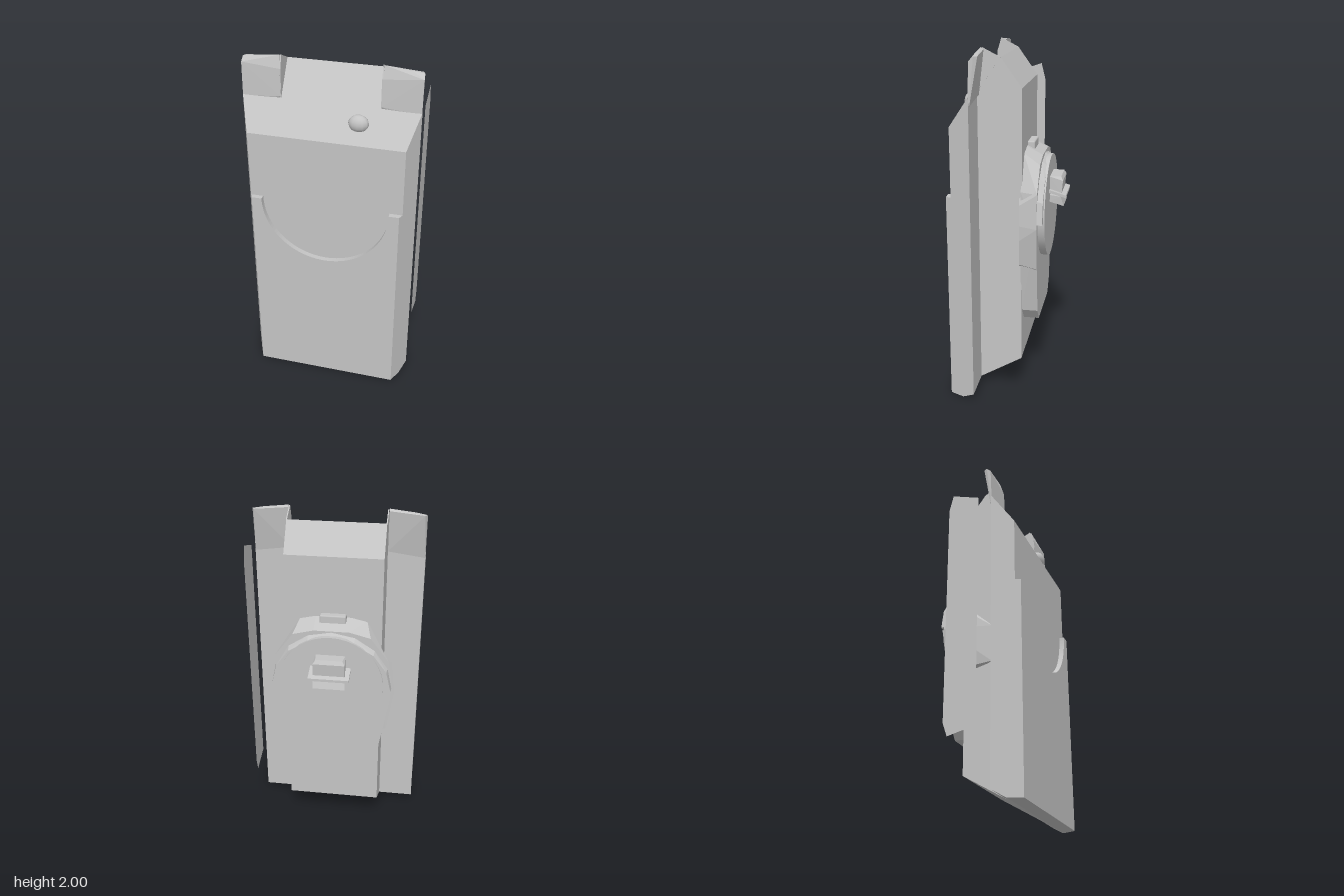
import * as THREE from 'three';
import { ConvexGeometry } from 'three/addons/geometries/ConvexGeometry.js';
import { RoundedBoxGeometry } from 'three/addons/geometries/RoundedBoxGeometry.js';

export function createModel() {
  const model = new THREE.Group();
  const grey = new THREE.MeshStandardMaterial({ color: 0xc4c4c4, side: THREE.DoubleSide });
  grey.name = 'light grey';

  const add = (name, geometry, parent = model) => {
    const mesh = new THREE.Mesh(geometry, grey);
    mesh.name = name;
    parent.add(mesh);
    return mesh;
  };
  const hull = (points) => new ConvexGeometry(points.map((p) => new THREE.Vector3(...p)));
  // Convex solid across both sides: each point is a half width, y and z
  const mirrored = (points) => hull(points.flatMap(([x, y, z]) => [[x, y, z], [-x, y, z]]));
  const sideX = (z) => 0.42 + (0.31 - z) * 0.453;

  // Wide front shell with flared sides and a sloped top
  add('frontShell', mirrored([
    [0, 0.28], [0, 0.23], [0.04, 0.16], [1.77, 0.16], [1.6, 0.28],
  ].map(([y, z]) => [sideX(z), y, z])));

  // Narrower core behind the shell
  add('rearCore', mirrored([
    [0.275, 0.04, 0.16], [0.275, 0.185, -0.085], [0.275, 1.79, -0.085],
    [0.275, 1.95, 0.03], [0.275, 1.77, 0.16],
  ]));

  // Raised front plate with a half-round cutout
  const plate = new THREE.Shape();
  plate.moveTo(-0.42, 0);
  plate.lineTo(0.42, 0);
  plate.lineTo(0.42, 1.213);
  plate.lineTo(0.362, 1.213);
  plate.absarc(0, 1.213, 0.362, 0, -Math.PI, true);
  plate.lineTo(-0.42, 1.213);
  const plateGeo = new THREE.ExtrudeGeometry(plate, { depth: 0.03, bevelEnabled: false, curveSegments: 28 });
  plateGeo.translate(0, 0, 0.28);
  const pos = plateGeo.attributes.position;
  for (let i = 0; i < pos.count; i++) {
    const x = pos.getX(i);
    if (Math.abs(x) > 0.4) pos.setX(i, Math.sign(x) * sideX(pos.getZ(i)));
  }
  plateGeo.computeVertexNormals();
  add('frontPlate', plateGeo);

  // Button on the sloped top
  const button = add('button', new THREE.SphereGeometry(1, 12, 8));
  button.scale.set(0.056, 0.048, 0.038);
  button.position.set(0.167, 1.7, 0.217);

  // Thin side fin outline, in z and y
  const fin = new THREE.Shape([
    [0.08, 0.375], [-0.08, 0.335], [-0.105, 0.41], [-0.105, 1.73], [-0.08, 1.83], [0.08, 1.775],
  ].map(([z, y]) => new THREE.Vector2(-z, y)));

  for (const s of [-1, 1]) {
    const side = s > 0 ? 'left' : 'right';
    const finMesh = add(side + 'Fin', new THREE.ShapeGeometry(fin));
    finMesh.rotation.y = Math.PI / 2;
    finMesh.position.x = s * 0.49;

    // Shoulder pad rising from the top corner
    add(side + 'Shoulder', hull([
      [s * 0.487, 1.76, 0.162], [s * 0.275, 1.78, 0.162], [s * 0.485, 1.72, 0.155], [s * 0.275, 1.75, 0.15],
      [s * 0.487, 1.95, 0.155], [s * 0.275, 1.93, 0.155],
      [s * 0.485, 1.975, 0.13], [s * 0.42, 1.985, 0.135], [s * 0.28, 2.0, 0.135],
      [s * 0.475, 1.975, 0.11], [s * 0.28, 1.99, 0.12],
    ]));
    // Web joining the shoulder to the core
    add(side + 'ShoulderWeb', hull([0.271, 0.277].flatMap((x) => [
      [s * x, 1.765, 0.16], [s * x, 1.93, 0.155], [s * x, 2.0, 0.13], [s * x, 1.95, 0.03],
    ])));

    // Tapered arm gripping the side of the core
    add(side + 'GripArm', hull([
      [s * 0.28, 0.82, 0.08], [s * 0.28, 1.04, 0.08], [s * 0.265, 0.82, 0.07], [s * 0.265, 1.04, 0.07],
      [s * 0.32, 0.78, -0.175], [s * 0.36, 1.03, -0.18], [s * 0.34, 1.22, -0.175],
      [s * 0.22, 0.72, -0.15], [s * 0.22, 1.3, -0.15],
    ]));
  }

  // Rear clasp assembly
  const clasp = new THREE.Group();
  clasp.name = 'rearClasp';
  model.add(clasp);
  add('claspBase', mirrored([
    [0.19, 0.415, -0.175], [0.25, 0.49, -0.175], [0.352, 1.04, -0.177], [0.325, 1.22, -0.177],
    [0.22, 1.36, -0.177], [0.1, 1.39, -0.177],
    [0.19, 0.415, -0.08], [0.25, 0.49, -0.08], [0.315, 0.95, -0.08], [0.29, 1.22, -0.08],
    [0.19, 1.42, -0.08], [0.1, 1.44, -0.08],
  ]), clasp);

  // Faceted collar around the upper half of the disc
  const collar = [];
  for (let i = 0; i <= 8; i++) {
    const a = Math.PI * i / 8;
    const c = Math.cos(a), h = Math.sin(a);
    collar.push([0.345 * c, 1.05 + 0.335 * h, -0.175], [0.34 * c, 1.05 + 0.31 * h, -0.208]);
  }
  add('claspCollar', hull(collar), clasp);

  const disc = add('claspDisc', new THREE.CylinderGeometry(0.3, 0.3, 0.045, 40), clasp);
  disc.rotation.x = Math.PI / 2;
  disc.position.set(0, 1.07, -0.1935);

  const tab = add('topTab', new RoundedBoxGeometry(0.15, 0.06, 0.045, 1, 0.008), clasp);
  tab.position.set(0, 1.43, -0.104);

  // Latch block with a flared flange and a lower lip
  const latch = new THREE.Group();
  latch.name = 'latch';
  clasp.add(latch);
  add('latchBlock', mirrored([
    [0.085, 1.16, -0.21], [0.085, 1.262, -0.21], [0.09, 1.16, -0.285], [0.09, 1.24, -0.292],
    [0.075, 1.262, -0.28],
  ]), latch);
  add('latchFlange', mirrored([
    [0.115, 1.19, -0.21], [0.115, 1.175, -0.21], [0.115, 1.16, -0.313], [0.115, 1.145, -0.313],
  ]), latch);
  add('latchLip', mirrored([
    [0.08, 1.15, -0.21], [0.08, 1.11, -0.21], [0.09, 1.145, -0.28], [0.09, 1.09, -0.298],
  ]), latch);

  return model;
}
